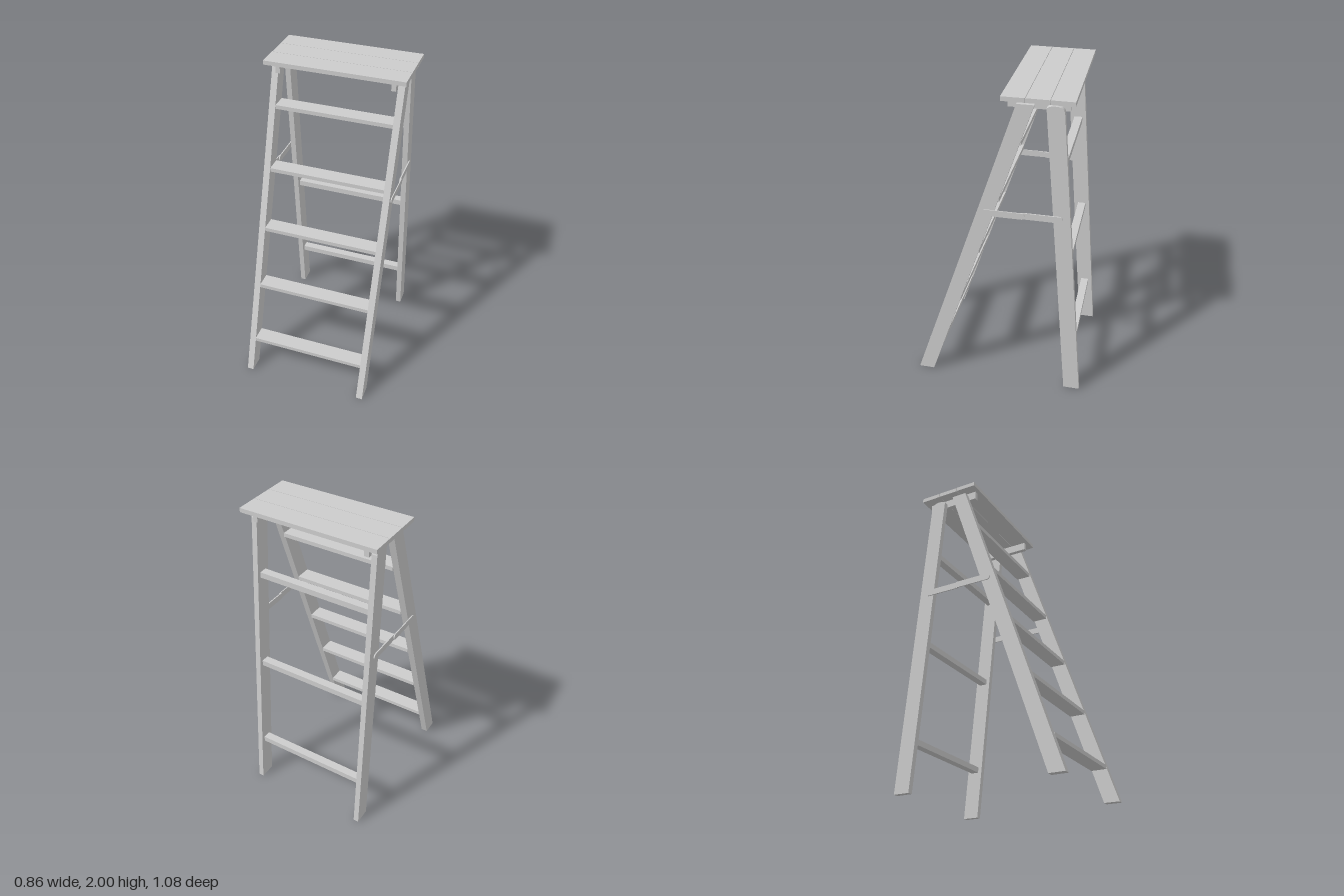
import * as THREE from 'three';

const material = new THREE.MeshStandardMaterial({ color: 0xcccccc, flatShading: true });

// Box given by its centre x, width and its y and z ranges
function board(name, x, width, y0, y1, z0, z1) {
  const mesh = new THREE.Mesh(new THREE.BoxGeometry(width, y1 - y0, z1 - z0), material);
  mesh.name = name;
  mesh.position.set(x, (y0 + y1) / 2, (z0 + z1) / 2);
  return mesh;
}

// Side profile drawn in (-z, y), extruded across x from x0 to x1
function sidePanel(name, shape, x0, x1) {
  const geometry = new THREE.ExtrudeGeometry(shape, { depth: x1 - x0, bevelEnabled: false, curveSegments: 8 });
  geometry.rotateY(Math.PI / 2);
  geometry.translate(x0, 0, 0);
  const mesh = new THREE.Mesh(geometry, material);
  mesh.name = name;
  return mesh;
}

// Flat metal strip with rounded ends, running from zFront to zBack
function linkShape(zFront, zBack, y, r) {
  const shape = new THREE.Shape();
  shape.absarc(-zBack - r, y, r, -Math.PI / 2, Math.PI / 2, false);
  shape.absarc(-zFront + r, y, r, Math.PI / 2, Math.PI * 1.5, false);
  shape.closePath();
  return shape;
}

export function createModel() {
  const ladder = new THREE.Group();
  ladder.name = 'stepladder';

  // Top platform of three planks
  const platform = new THREE.Group();
  platform.name = 'platform';
  for (let i = 0; i < 3; i++) {
    const z = -0.036 - i * 0.1345;
    platform.add(board('plank', 0, 0.86, 1.974, 2, z - 0.132, z));
  }
  ladder.add(platform);

  // Leg profiles: slanted front rail, rear leg with rounded top
  const frontLeg = new THREE.Shape([
    [-0.541, 0], [-0.442, 0], [0.215, 1.955], [0.117, 1.955],
  ].map(([u, v]) => new THREE.Vector2(u, v)));

  const rearLeg = new THREE.Shape();
  rearLeg.moveTo(0.44, 0);
  rearLeg.lineTo(0.541, 0);
  rearLeg.lineTo(0.378, 1.925);
  rearLeg.bezierCurveTo(0.37, 1.95, 0.345, 1.955, 0.326, 1.955);
  rearLeg.bezierCurveTo(0.305, 1.955, 0.29, 1.95, 0.279, 1.94);
  rearLeg.closePath();

  for (const side of [-1, 1]) {
    const across = (a, b) => (side > 0 ? [a, b] : [-b, -a]);
    ladder.add(
      sidePanel('frontLeg', frontLeg, ...across(0.366, 0.407)),
      sidePanel('rearLeg', rearLeg, ...across(0.366, 0.4)),
      // Cleat carrying the planks
      board('cleat', side * 0.352, 0.028, 1.92, 1.974, -0.406, -0.063),
      // Folding spreader of two overlapping links
      sidePanel('spreaderFront', linkShape(0.08, -0.17, 1.27, 0.02), ...across(0.407, 0.413)),
      sidePanel('spreaderRear', linkShape(-0.14, -0.39, 1.27, 0.02), ...across(0.4, 0.407)),
    );
  }

  // Five treads between the front legs
  for (let i = 0; i < 5; i++) {
    const top = 0.23 + i * 0.3725;
    const nose = 0.468 - i * 0.1268;
    ladder.add(board('tread', 0, 0.732, top - 0.025, top, nose - 0.098, nose));
  }

  // Three rungs between the rear legs
  for (let i = 0; i < 3; i++) {
    const y = 0.316 + i * 0.623;
    const z = -0.464 + i * 0.052;
    ladder.add(board('rearRung', 0, 0.732, y - 0.018, y + 0.018, z - 0.025, z + 0.025));
  }

  return ladder;
}
